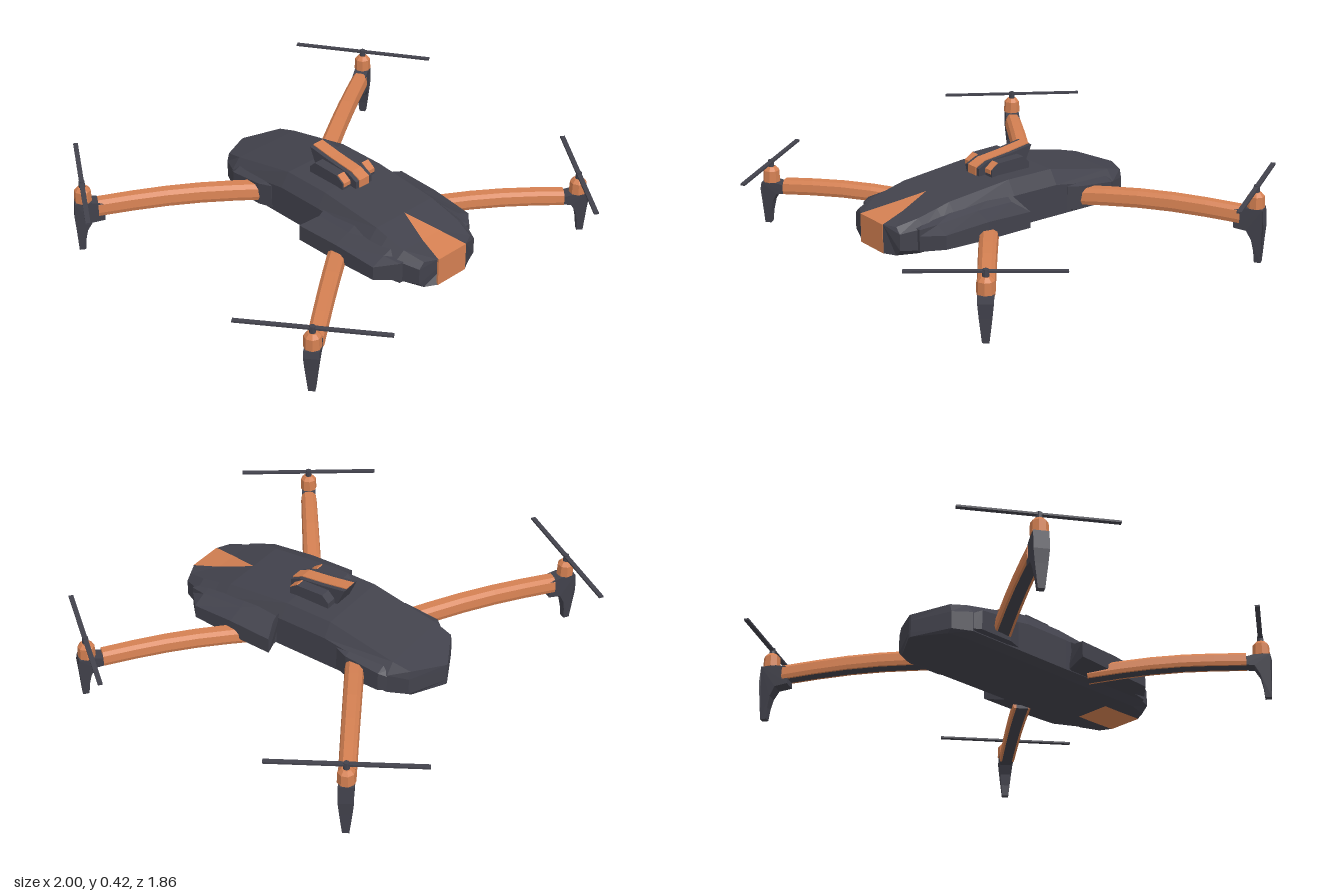
import * as THREE from 'three';

const orange = new THREE.MeshStandardMaterial({ color: 0xd48052 });
orange.name = 'copper orange';
const dark = new THREE.MeshStandardMaterial({ color: 0x42424c });
dark.name = 'charcoal';

// Faceted mesh with hard edges
function mesh(name, geometry, material) {
  const g = geometry.index ? geometry.toNonIndexed() : geometry;
  g.computeVertexNormals();
  const m = new THREE.Mesh(g, material);
  m.name = name;
  return m;
}

// Skin rings of points (clockwise seen from the last ring); pick(i, j) tells which cells are orange,
// where i is -1 for the first cap and rings.length - 1 for the last cap
function loft(name, rings, pick) {
  const pos = { true: [], false: [] };
  const tri = (a, b, c, isOrange) => {
    const [A, B, C] = [a, b, c].map(p => new THREE.Vector3(...p));
    if (B.sub(A).cross(C.sub(A)).length() > 1e-8) pos[isOrange].push(...a, ...b, ...c);
  };
  const n = rings[0].length;
  for (let i = 0; i < rings.length - 1; i++) {
    for (let j = 0; j < n; j++) {
      const k = (j + 1) % n, p = rings[i], q = rings[i + 1], o = pick(i, j);
      tri(p[j], q[k], p[k], o);
      tri(p[j], q[j], q[k], o);
    }
  }
  const first = rings[0], last = rings[rings.length - 1];
  for (let j = 1; j < n - 1; j++) {
    tri(first[0], first[j], first[j + 1], pick(-1, j));
    tri(last[0], last[j + 1], last[j], pick(rings.length - 1, j));
  }
  const group = new THREE.Group();
  group.name = name;
  for (const [key, mat] of [['true', orange], ['false', dark]]) {
    if (!pos[key].length) continue;
    const g = new THREE.BufferGeometry();
    g.setAttribute('position', new THREE.Float32BufferAttribute(pos[key], 3));
    group.add(mesh(name + (mat === orange ? 'Accent' : 'Shell'), g, mat));
  }
  return group;
}

// Outline extruded about its own middle plane
function slab(points, width) {
  const shape = new THREE.Shape(points.map(p => new THREE.Vector2(...p)));
  return new THREE.ExtrudeGeometry(shape, { depth: width, bevelEnabled: false }).translate(0, 0, -width / 2);
}

function makeBody() {
  // z, top, shoulder, lower side, bottom, half widths: top, side, bottom, accent top, accent bottom
  const rows = [
    [-0.59, 0.228, 0.2, 0.15, 0.128, 0.005, 0.006, 0.005, 0, 0],
    [-0.51, 0.25, 0.215, 0.14, 0.124, 0.15, 0.16, 0.14, 0, 0.08],
    [-0.43, 0.27, 0.225, 0.14, 0.12, 0.16, 0.2, 0.16, 0, 0.08],
    [-0.12, 0.335, 0.275, 0.14, 0.12, 0.16, 0.2, 0.16, 0, 0.08],
    [0.1, 0.335, 0.275, 0.14, 0.12, 0.16, 0.2, 0.16, 0, 0.08],
    [0.4, 0.305, 0.26, 0.145, 0.12, 0.16, 0.2, 0.16, 0, 0.08],
    [0.46, 0.29, 0.252, 0.145, 0.12, 0.16, 0.2, 0.16, 0.02, 0.08],
    [0.55, 0.268, 0.238, 0.145, 0.12, 0.157, 0.2, 0.16, 0.05, 0.08],
    [0.64, 0.245, 0.22, 0.15, 0.122, 0.135, 0.16, 0.13, 0.08, 0.08],
  ];
  const rings = rows.map(([z, top, sh, low, bot, t, s, b, w, v]) => {
    const zc = z > 0.6 ? z + 0.027 : z;
    const half = [[w, top, zc], [t, top, z], [s, sh, z], [s, low, z], [b, bot, z], [v, bot, zc]];
    return [...half, ...half.map(([x, y, d]) => [-x, y, d]).reverse()];
  });
  const last = rings.length - 1;
  const body = loft('body', rings, (i, j) => (i >= 5 && i < last && j === 11) || (i >= 6 && i < last && j === 5));
  // Nose plate over the front cap
  const plate = new THREE.BoxGeometry(0.16, 0.123, 0.008).translate(0, 0.1835, 0.665);
  body.add(mesh('nosePlate', plate, orange));
  return body;
}

// Side housings; rings are reversed for the right side
function makeHousing(name, side, rings) {
  const placed = rings.map(r => {
    const out = r.map(([x, y, z]) => [x * side, y, z]);
    return side > 0 ? out : out.reverse();
  });
  return loft(name, placed, () => false);
}

const frontHousing = [
  [0.3, 0.13, 0.095, 0.25, 0.235, 0.165], [0.292, 0.3, 0.3, 0.25, 0.235, 0.16],
  [0.28, 0.5, 0.5, 0.235, 0.22, 0.16], [0.203, 0.575, 0.575, 0.225, 0.21, 0.16],
].map(([x, zi, zo, yi, y, low], i) => [
  [0.15, [0.31, 0.3, 0.27, 0.24][i], zi], [Math.min(0.22, x), yi + 0.012, zi], [x, y, zo],
  [x, low, zo], [Math.min(0.22, x), 0.145, zi], [0.15, 0.14, zi],
]);

const rearHousing = [[-0.43, 0.202, 0.22], [-0.4, 0.222, 0.235], [-0.24, 0.222, 0.25], [-0.18, 0.202, 0.255]]
  .map(([z, x, y]) => [[0.17, y + 0.02, z], [x, y, z], [x, 0.15, z], [0.17, 0.135, z]]);

// Arched arm with a dark strip underneath
function makeArm(name, from, to, halfHeight) {
  const a = new THREE.Vector3(...from), b = new THREE.Vector3(...to);
  const f = b.clone().sub(a).setY(0).normalize();
  const rings = [];
  for (let i = 0; i <= 5; i++) {
    const t = i / 5, c = a.clone().lerp(b, t);
    c.y += 0.018 * Math.sin(Math.PI * t);
    const k = 1 - 0.12 * t, h = halfHeight;
    const half = [[0.02, h], [0.036, h * 0.55], [0.041, -h * 0.5], [0.036, -h], [0.026, -h]];
    const section = [...half, ...half.map(([u, v]) => [-u, v]).reverse()];
    rings.push(section.map(([u, v]) => [c.x + f.z * u * k, c.y + v, c.z - f.x * u * k]));
  }
  return loft(name, rings, (i, j) => j !== 4);
}

// Landing leg, motor and propeller standing on the end of an arm
function makeMotor(name, x, z, top, armAngle, bladeAngle, bladeLength) {
  const group = new THREE.Group();
  group.name = name;
  group.position.set(x, 0, z);
  const leg = slab([[-0.085, 0.148], [-0.03, 0.14], [-0.008, 0.1], [0.002, 0.05], [0.006, 0], [0.033, 0],
    [0.038, 0.1], [0.042, 0.16], [0.036, top], [-0.03, top], [-0.085, top - 0.012]], 0.062);
  const p = leg.attributes.position;
  for (let i = 0; i < p.count; i++) p.setZ(i, p.getZ(i) * Math.min(1, 0.45 + 0.55 * p.getY(i) / 0.15));
  leg.rotateY(armAngle);
  group.add(mesh('leg', leg, dark));
  const can = new THREE.CylinderGeometry(0.035, 0.037, 0.05, 8).translate(0, top + 0.025, 0);
  const cap = new THREE.CylinderGeometry(0.02, 0.035, 0.016, 8).translate(0, top + 0.058, 0);
  const hub = new THREE.CylinderGeometry(0.012, 0.014, 0.03, 8).translate(0, top + 0.08, 0);
  group.add(mesh('motorCan', can, orange), mesh('motorCap', cap, orange), mesh('hub', hub, dark));
  const blade = new THREE.BoxGeometry(bladeLength, 0.008, 0.02).translate(0, top + 0.086, 0).rotateY(bladeAngle);
  group.add(mesh('propeller', blade, dark));
  return group;
}

// Raised sensor pod on the roof
function makeRoofPod() {
  const group = new THREE.Group();
  group.name = 'roofPod';
  const outline = [[0.165, 0.33], [0.165, 0.362], [0.12, 0.384], [0, 0.398], [-0.108, 0.415], [-0.07, 0.33]];
  const spine = outline.map(([z, y]) => [z > 0.16 ? z + 0.004 : z, y > 0.34 ? y + 0.004 : y]);
  group.add(mesh('podShell', slab(outline, 0.09).rotateY(-Math.PI / 2), dark));
  group.add(mesh('podSpine', slab(spine, 0.054).rotateY(-Math.PI / 2), orange));
  const lobe = [[0.135, 0.33], [0.135, 0.362], [0.1, 0.386], [-0.03, 0.39], [-0.06, 0.36], [-0.06, 0.33]];
  for (const s of [-1, 1]) {
    group.add(mesh('podLobe', slab(lobe, 0.045).rotateY(-Math.PI / 2).translate(s * 0.07, 0, 0), dark));
    const face = slab([[0.139, 0.345], [0.139, 0.363], [0.102, 0.389], [0.098, 0.386], [0.133, 0.361], [0.133, 0.345]], 0.036);
    group.add(mesh('lobeFace', face.rotateY(-Math.PI / 2).translate(s * 0.07, 0, 0), orange));
  }
  return group;
}

export function createModel() {
  const model = new THREE.Group();
  model.name = 'drone';
  model.add(makeBody(), makeRoofPod());
  for (const s of [1, -1]) {
    const tag = s > 0 ? 'left' : 'right';
    model.add(makeHousing(tag + 'FrontHousing', s, frontHousing));
    model.add(makeHousing(tag + 'RearHousing', s, rearHousing));
    model.add(makeArm(tag + 'FrontArm', [s * 0.2, 0.158, 0.23], [s * 0.725, 0.174, 0.637], 0.03));
    model.add(makeArm(tag + 'RearArm', [s * 0.16, 0.197, -0.245], [s * 0.77, 0.205, -0.635], 0.034));
    const frontAngle = Math.atan2(-0.41, s * 0.52), rearAngle = Math.atan2(0.39, s * 0.61);
    model.add(makeMotor(tag + 'FrontMotor', s * 0.775, 0.675, 0.19, frontAngle, Math.atan2(0.49, s * 0.37), 0.614));
    model.add(makeMotor(tag + 'RearMotor', s * 0.82, -0.667, 0.238, rearAngle, Math.atan2(-0.53, s * 0.34), 0.63));
  }
  return model;
}
